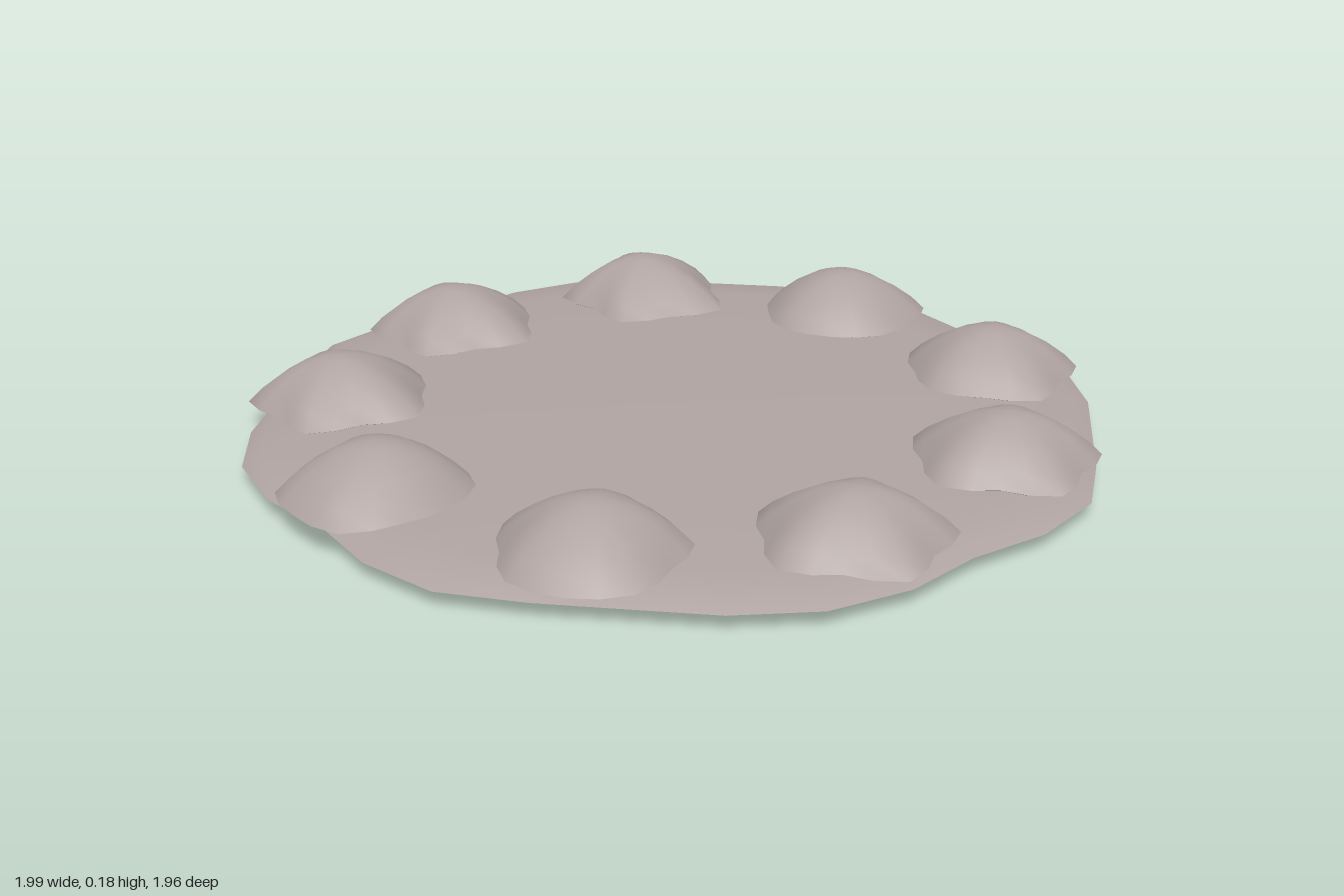
import * as THREE from 'three';
import { mergeVertices, toCreasedNormals } from 'three/addons/utils/BufferGeometryUtils.js';

// Lathe a [radius, y] profile, scaling each direction by a cyclic list of radii.
function lobedLathe(profile, segments, radiusAt, crease) {
  const points = profile.map(([r, y]) => new THREE.Vector2(r, y));
  let geometry = new THREE.LatheGeometry(points, segments);
  const pos = geometry.attributes.position;
  for (let i = 0; i < pos.count; i++) {
    const x = pos.getX(i), z = pos.getZ(i);
    const r = Math.hypot(x, z);
    if (r < 1e-6) {
      pos.setXYZ(i, 0, pos.getY(i), 0);
      continue;
    }
    const turn = (Math.atan2(z, x) / (Math.PI * 2) + 1) % 1;
    const scale = radiusAt(turn, r);
    pos.setXYZ(i, x * scale, pos.getY(i), z * scale);
  }
  geometry.deleteAttribute('normal');
  geometry.deleteAttribute('uv');
  geometry = mergeVertices(geometry, 1e-5);
  return toCreasedNormals(geometry, crease);
}

// Linear lookup in a cyclic list, turn in 0..1
function cyclic(list, turn) {
  const f = turn * list.length;
  const i = Math.floor(f + 1e-4);
  const t = Math.max(0, f - i);
  return THREE.MathUtils.lerp(list[i % list.length], list[(i + 1) % list.length], t);
}

export function createModel() {
  const group = new THREE.Group();
  const stone = new THREE.MeshStandardMaterial({ color: 0xb0a4a2 });
  stone.name = 'taupe stone';

  // Irregular flat slab: the rim waviness repeats every quarter turn
  const rim = [0.98, 0.955, 0.967, 0.998, 0.98, 0.943, 0.983, 1.0];
  const slabProfile = [
    [0, 0], [0.65, 0.002], [0.86, 0.008], [0.95, 0.02], [1, 0.038],
    [0.96, 0.055], [0.85, 0.063], [0.5, 0.071], [0, 0.076],
  ];
  const slab = new THREE.Mesh(
    lobedLathe(slabProfile, 32, (turn) => cyclic(rim, (turn * 4) % 1), 0.9), stone);
  slab.name = 'slab';
  group.add(slab);

  // Outline radii of the stones, in hundredths, every 36 degrees from +x towards +z
  const starRight = [21.4, 17.1, 21.9, 17.6, 22.5, 18.7, 22.5, 17.6, 21.9, 17.1];
  const starLeft = [18.7, 22.5, 17.6, 21.9, 17.1, 21.4, 17.1, 21.9, 17.6, 22.5];
  const stones = [
    { x: 0.69, z: 0.37, radii: starRight },
    { x: 0.295, z: 0.725, radii: starRight },
    { x: -0.235, z: 0.73, radii: [20.3, 18.2, 21.9, 21.9, 21.9, 18.7, 21.9, 20.3, 21.4, 17.6] },
    { x: -0.675, z: 0.405, radii: [20.8, 18.7, 18.7, 22.5, 20.3, 21.4, 18.2, 20.8, 19.2, 19.8] },
    { x: -0.78, z: -0.115, radii: starLeft },
    { x: -0.52, z: -0.58, radii: starLeft },
    { x: -0.02, z: -0.785, radii: [18.2, 24, 19.2, 22.5, 16.6, 21.4, 15, 20.8, 15, 22.5] },
    { x: 0.49, z: -0.61, radii: [21.9, 19.2, 20.8, 20.3, 21.4, 19.2, 20.3, 20.3, 20.8, 17.1] },
    { x: 0.78, z: -0.16, radii: [21.4, 17.6, 22.5, 19.2, 21.4, 18.7, 21.4, 17.6, 22.5, 16.6] },
  ];
  const stoneProfile = [
    [0, 0.052], [0.85, 0.055], [1, 0.068], [0.85, 0.1], [0.65, 0.133],
    [0.42, 0.16], [0.2, 0.175], [0, 0.18],
  ];

  // Ring of low domed stones, with lobes fading towards the peak
  stones.forEach(({ x, z, radii }, i) => {
    const radiusAt = (turn, r) =>
      THREE.MathUtils.lerp(0.195, cyclic(radii, turn) / 100, Math.min(1, r * 1.2));
    const mesh = new THREE.Mesh(lobedLathe(stoneProfile, 20, radiusAt, 0.9), stone);
    mesh.name = `domedStone${i + 1}`;
    mesh.position.set(x, 0, z);
    group.add(mesh);
  });

  return group;
}
